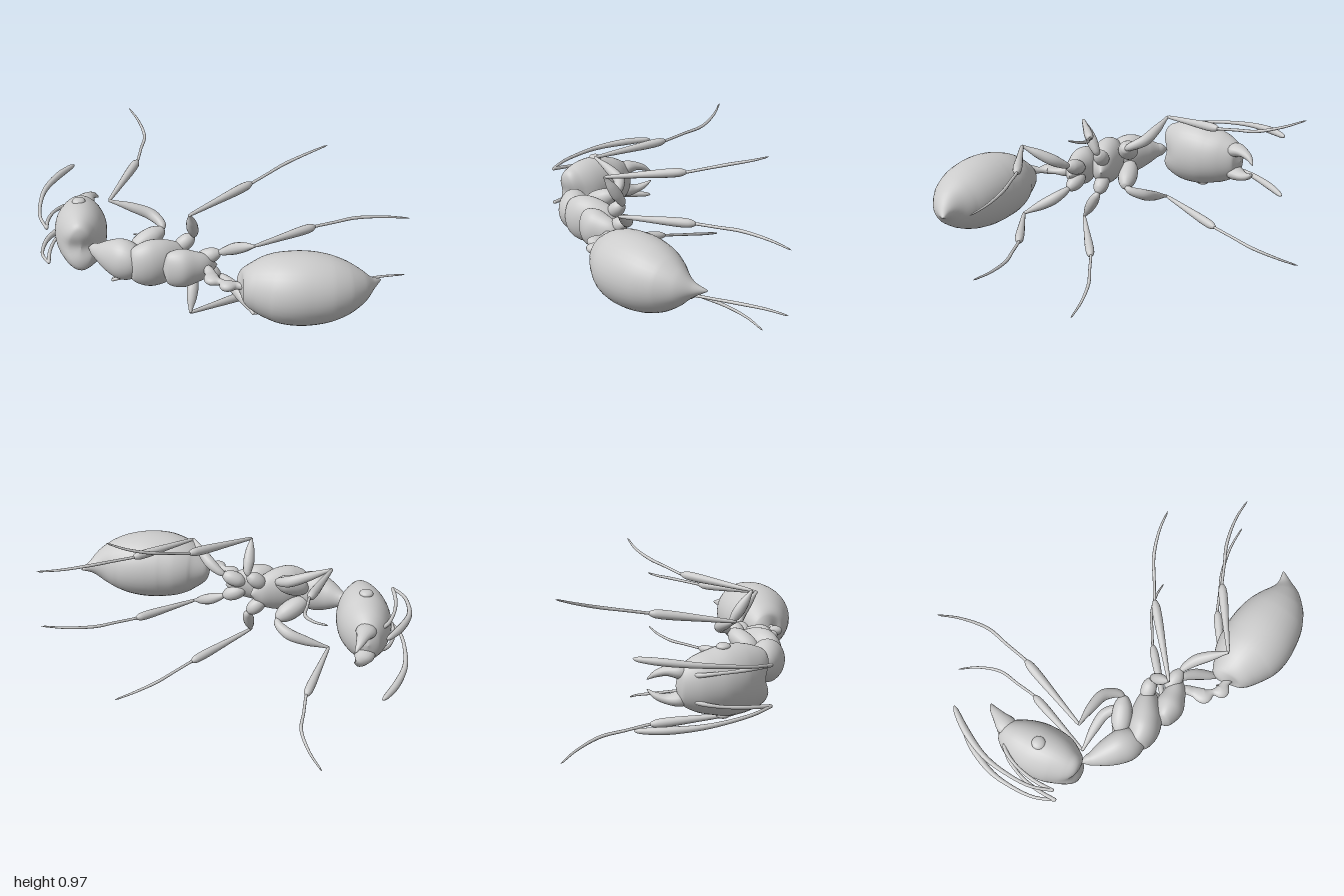
import * as THREE from 'three';

const MID = 0.49; // height of the mirror plane
const material = new THREE.MeshStandardMaterial({ color: 0xcccccc });

// Smooth tube through stations [x, y, z, r, ry]: r across the spine, ry along y; ends close to a point.
function loft(name, stations, sides = 20, steps = 6) {
  const path = new THREE.CatmullRomCurve3(stations.map(s => new THREE.Vector3(s[0], s[1], s[2])));
  const size = new THREE.CatmullRomCurve3(
    stations.map(s => new THREE.Vector3(s[3], s[4] ?? s[3], 0)), false, 'catmullrom', 0.5);
  const rows = (stations.length - 1) * steps;
  const up = new THREE.Vector3(0, 1, 0);
  const pos = [], index = [];
  for (let i = 0; i <= rows; i++) {
    const t = i / rows;
    const c = path.getPoint(t), r = size.getPoint(t);
    const T = path.getTangent(t);
    const N = T.clone().cross(up).normalize();
    const B = T.clone().cross(N);
    const open = i > 0 && i < rows ? 1 : 0;
    for (let j = 0; j < sides; j++) {
      const a = (j / sides) * Math.PI * 2;
      const p = c.clone()
        .addScaledVector(N, Math.cos(a) * Math.max(r.x, 0) * open)
        .addScaledVector(B, Math.sin(a) * Math.max(r.y, 0) * open);
      pos.push(p.x, p.y, p.z);
      if (i < rows) {
        const k = i * sides, n = (j + 1) % sides;
        index.push(k + j, k + n, k + sides + j, k + n, k + sides + n, k + sides + j);
      }
    }
  }
  const geo = new THREE.BufferGeometry();
  geo.setAttribute('position', new THREE.Float32BufferAttribute(pos, 3));
  geo.setIndex(index);
  geo.computeVertexNormals();
  const mesh = new THREE.Mesh(geo, material);
  mesh.name = name;
  return mesh;
}

// Body part on the mirror plane, stations [x, z, r, ry]
const body = (name, st) => loft(name, st.map(([x, z, r, ry]) => [x, MID, z, r, ry]), 36, 8);

// Swollen capsule between two points
function bulb(name, a, b, r) {
  const at = (t, k) => [0, 1, 2].map(i => a[i] + (b[i] - a[i]) * t).concat(r * k);
  return loft(name, [at(0, 0), at(0.06, 0.45), at(0.25, 0.87), at(0.5, 1), at(0.75, 0.87), at(0.94, 0.45), at(1, 0)]);
}

export function createModel() {
  const g = new THREE.Group();
  g.name = 'ant';

  // Head, with a shallow notch in its rear edge
  const head = body('head', [
    [-0.80, 0.055, 0, 0], [-0.79, 0.075, 0.06, 0.09], [-0.75, 0.14, 0.11, 0.14], [-0.70, 0.21, 0.138, 0.165],
    [-0.655, 0.27, 0.145, 0.18], [-0.60, 0.34, 0.135, 0.178], [-0.555, 0.405, 0.105, 0.158],
    [-0.52, 0.45, 0.065, 0.12], [-0.505, 0.47, 0, 0]]);
  const p = head.geometry.attributes.position;
  for (let i = 0; i < p.count; i++) {
    const along = (p.getX(i) + 0.655) * 0.58 + (p.getZ(i) - 0.27) * 0.81;
    const k = Math.max(0, along) / 0.25;
    const d = 0.035 * k * k * Math.exp(-(((p.getY(i) - MID) / 0.06) ** 2));
    p.setX(i, p.getX(i) - 0.58 * d);
    p.setZ(i, p.getZ(i) - 0.81 * d);
  }
  head.geometry.computeVertexNormals();
  g.add(head);

  // Thorax segments
  g.add(body('frontThorax', [
    [-0.50, 0.41, 0, 0], [-0.465, 0.412, 0.025, 0.032], [-0.43, 0.417, 0.04, 0.045], [-0.37, 0.42, 0.066, 0.078],
    [-0.29, 0.422, 0.086, 0.11], [-0.225, 0.42, 0.09, 0.108], [-0.17, 0.41, 0.065, 0.075], [-0.15, 0.40, 0, 0]]));
  g.add(body('middleThorax', [
    [-0.20, 0.47, 0, 0], [-0.185, 0.45, 0.05, 0.085], [-0.13, 0.40, 0.085, 0.125], [-0.085, 0.345, 0.09, 0.128],
    [-0.045, 0.285, 0.075, 0.11], [-0.012, 0.23, 0.05, 0.075], [0.015, 0.18, 0, 0]]));
  g.add(body('rearThorax', [
    [-0.02, 0.40, 0, 0], [0, 0.385, 0.045, 0.085], [0.06, 0.338, 0.078, 0.107], [0.115, 0.288, 0.064, 0.088],
    [0.16, 0.24, 0.042, 0.06], [0.195, 0.20, 0, 0]]));

  // Two-node waist
  g.add(body('waist', [
    [0.13, 0.265, 0.02], [0.19, 0.285, 0.025, 0.026], [0.225, 0.315, 0.03, 0.02], [0.265, 0.358, 0.044, 0.026],
    [0.315, 0.36, 0.018, 0.018], [0.36, 0.372, 0.042, 0.027], [0.40, 0.345, 0.022, 0.02], [0.44, 0.33, 0.02]]));

  // Abdomen with pointed tip
  g.add(body('abdomen', [
    [0.395, 0.335, 0, 0], [0.415, 0.315, 0.08, 0.08], [0.485, 0.285, 0.14, 0.14], [0.565, 0.25, 0.178, 0.175],
    [0.65, 0.215, 0.195, 0.19], [0.735, 0.165, 0.192, 0.19], [0.82, 0.11, 0.173, 0.172], [0.885, 0.06, 0.138, 0.14],
    [0.935, 0.01, 0.09, 0.095], [0.97, -0.045, 0.038, 0.038], [0.997, -0.11, 0.003, 0.003]]));

  // Legs: hip root, hip, knee, ankle, bend of the foot, toe
  const legs = {
    front: [[-0.25, 0.52, 0.37], [-0.14, 0.61, 0.20], [-0.44, 0.735, 0.285], [-0.55, 0.785, -0.14],
      [-0.66, 0.83, -0.37], [-0.875, 0.912, -0.52]],
    middle: [[-0.04, 0.53, 0.25], [0.035, 0.61, 0.18], [0.077, 0.782, 0.285], [0.20, 0.83, -0.14],
      [0.29, 0.89, -0.34], [0.457, 0.975, -0.515]],
    hind: [[0.09, 0.51, 0.25], [0.21, 0.56, 0.19], [0.45, 0.69, 0.25], [0.60, 0.685, -0.12],
      [0.73, 0.685, -0.32], [0.965, 0.662, -0.52]],
  };

  for (const s of [1, -1]) {
    const side = new THREE.Group();
    side.name = s > 0 ? 'upperSide' : 'lowerSide';
    g.add(side);
    const f = q => [q[0], MID + s * (q[1] - MID), ...q.slice(2)];
    const mix = (a, b, t, r, dz = 0) =>
      f([a[0] + (b[0] - a[0]) * t, a[1] + (b[1] - a[1]) * t, a[2] + (b[2] - a[2]) * t + dz, r]);

    for (const [name, [root, hip, knee, ankle, bend, toe]] of Object.entries(legs)) {
      const bow = name === 'front' ? -0.06 : name === 'hind' ? -0.02 : 0;
      side.add(
        bulb(name + 'Hip', f(root), f(hip), name === 'front' ? 0.055 : 0.042),
        loft(name + 'Thigh', [mix(root, hip, 0.9, 0.012), mix(hip, knee, 0.08, 0.022, bow * 0.3),
          mix(hip, knee, 0.35, 0.031, bow), mix(hip, knee, 0.65, 0.026, bow * 0.7), mix(hip, knee, 0.9, 0.012, bow * 0.2),
          mix(hip, knee, 1, 0.008), mix(hip, knee, 1.01, 0.004)], 14),
        loft(name + 'Shin', [mix(knee, ankle, -0.01, 0.004), mix(knee, ankle, 0.03, 0.009), mix(knee, ankle, 0.4, 0.017),
          mix(knee, ankle, 0.75, 0.024), mix(knee, ankle, 0.92, 0.022), mix(knee, ankle, 1, 0.009)], 14),
        loft(name + 'Foot', [mix(knee, ankle, 0.97, 0.008), f([...ankle, 0.008]), mix(ankle, bend, 0.5, 0.008),
          f([...bend, 0.009]), mix(bend, toe, 0.5, 0.007, -0.02), f([...toe, 0.004])], 10));
    }

    // Elbowed antenna
    side.add(
      loft('antennaBase', [[-0.79, 0.55, 0.13, 0.012], [-0.83, 0.56, 0.18, 0.012], [-0.82, 0.575, 0.29, 0.009],
        [-0.77, 0.585, 0.41, 0.01], [-0.70, 0.595, 0.51, 0.01], [-0.695, 0.596, 0.516, 0.004]].map(f), 12),
      loft('antennaTip', [[-0.695, 0.595, 0.516, 0.004], [-0.71, 0.597, 0.505, 0.008], [-0.80, 0.61, 0.44, 0.009],
        [-0.89, 0.63, 0.32, 0.011], [-0.95, 0.645, 0.20, 0.015], [-0.982, 0.66, 0.04, 0.02],
        [-0.985, 0.668, -0.08, 0.014], [-0.983, 0.67, -0.11, 0.004]].map(f), 12));

    // Jaw
    side.add(loft('jaw', [[-0.755, 0.54, 0.13, 0.04], [-0.775, 0.56, 0.07, 0.055, 0.04], [-0.79, 0.562, 0.01, 0.035, 0.026],
      [-0.80, 0.545, -0.045, 0.02, 0.017], [-0.80, 0.515, -0.09, 0.003]].map(f), 14));

    // Eye
    const eye = new THREE.Mesh(new THREE.SphereGeometry(1, 20, 14), material);
    eye.name = 'eye';
    eye.scale.set(0.037, 0.02, 0.037);
    eye.position.set(...f([-0.665, 0.665, 0.265]));
    side.add(eye);
  }
  return g;
}
